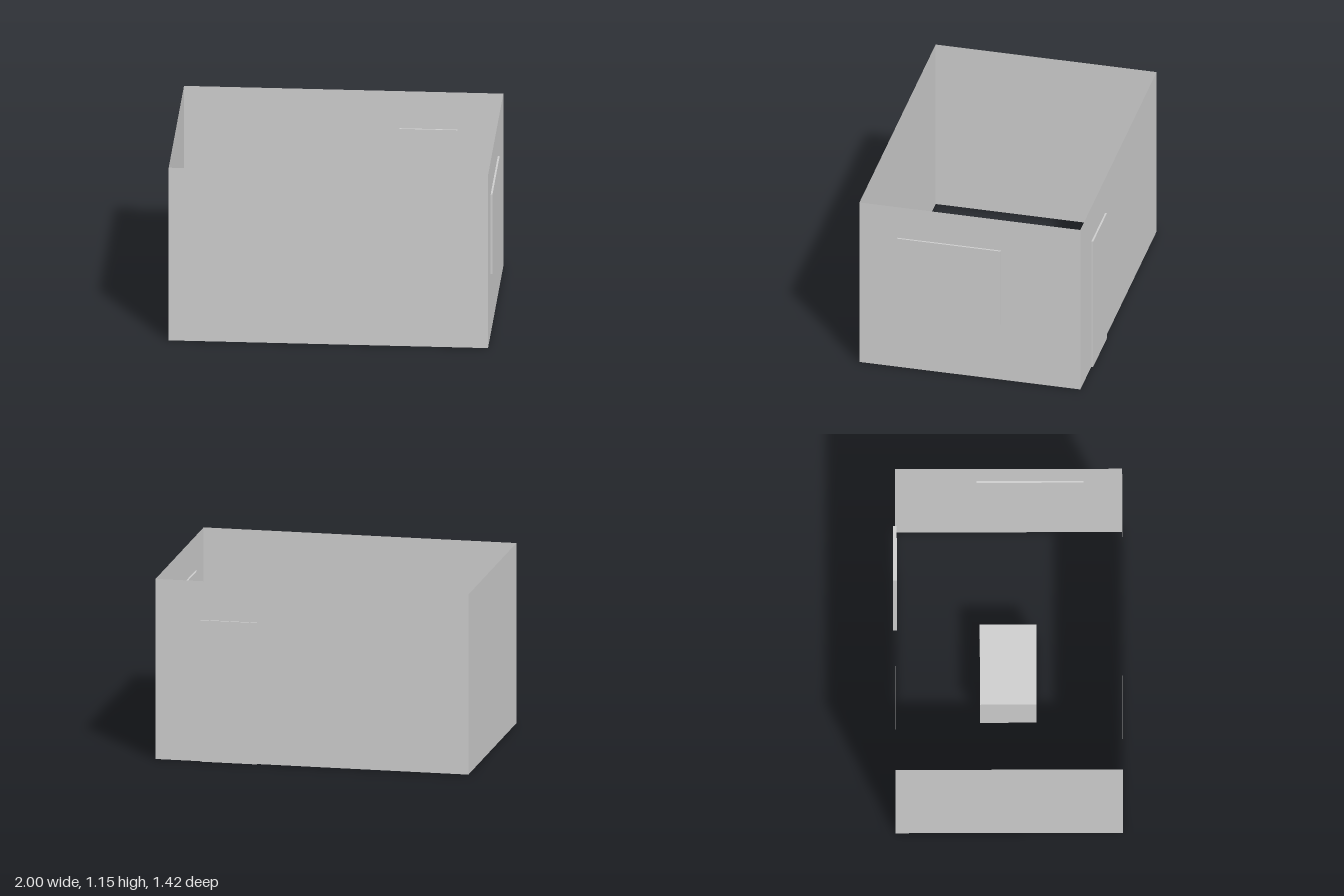
import * as THREE from 'three';

export function createModel() {
  const group = new THREE.Group();
  const grey = new THREE.MeshStandardMaterial({ color: 0xcccccc, side: THREE.DoubleSide });
  grey.name = 'plain grey';

  const add = (name, geometry, x, y, z, turn = 0) => {
    const mesh = new THREE.Mesh(geometry, grey);
    mesh.name = name;
    mesh.position.set(x, y, z);
    mesh.rotation.y = turn;
    group.add(mesh);
  };

  // Room limits: paper-thin walls, open above and below
  const left = 0.988, right = -1, front = 0.712, back = -0.701, height = 1.15;
  const cx = (left + right) / 2, cz = (front + back) / 2, cy = height / 2;
  const long = new THREE.PlaneGeometry(left - right, height);
  const short = new THREE.PlaneGeometry(front - back, height);
  add('frontWall', long, cx, cy, front);
  add('backWall', long, cx, cy, back, Math.PI);
  add('leftWall', short, left, cy, cz, Math.PI / 2);
  add('rightWall', short, right, cy, cz, -Math.PI / 2);

  // Door and window slabs straddle their walls
  const slab = 0.023;
  add('door', new THREE.BoxGeometry(0.36, 0.903, slab), 0.522, 0.4515, back);
  add('window', new THREE.BoxGeometry(slab, 0.53, 0.663), left, 0.665, 0.139);

  // Table block in the middle of the room
  add('table', new THREE.BoxGeometry(0.53, 0.328, 0.352), -0.006, 0.164, 0.001);

  return group;
}
